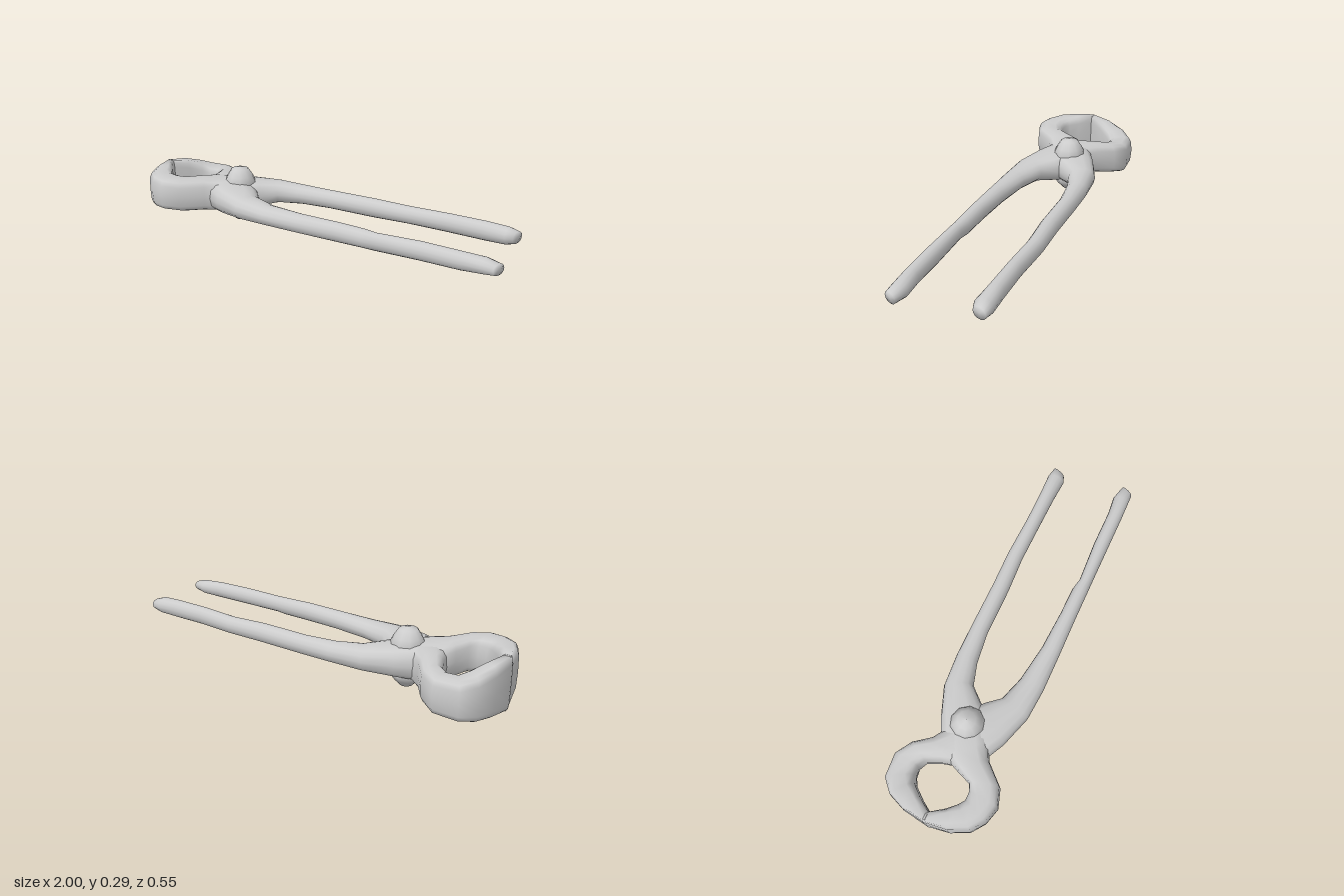
import * as THREE from 'three';

const SIDES = 14;

// Lofts rounded sections. Station: [outer x, z, inner x, z, low y, high y, roundness]
// roundness 1 = ellipse, smaller = boxier
function loft(stations, flip) {
  const pos = [], idx = [];
  for (const [ox, oz, ix, iz, y0, y1, k] of stations) {
    for (let a = 0; a < SIDES; a++) {
      const t = (a / SIDES) * Math.PI * 2;
      const c = Math.cos(t), s = Math.sin(t);
      const w = (Math.sign(c) * Math.abs(c) ** k + 1) / 2;
      const h = (Math.sign(s) * Math.abs(s) ** k + 1) / 2;
      pos.push(ix + (ox - ix) * w, y0 + (y1 - y0) * h, iz + (oz - iz) * w);
    }
  }
  const tri = (a, b, c) => (flip ? idx.push(a, c, b) : idx.push(a, b, c));
  const n = stations.length;
  for (let i = 0; i < n - 1; i++) {
    for (let a = 0; a < SIDES; a++) {
      const b = (a + 1) % SIDES, p = i * SIDES, q = p + SIDES;
      tri(p + a, p + b, q + b);
      tri(p + a, q + b, q + a);
    }
  }
  // end caps
  for (const end of [0, n - 1]) {
    const [ox, oz, ix, iz, y0, y1] = stations[end];
    const c = pos.length / 3;
    pos.push((ox + ix) / 2, (y0 + y1) / 2, (oz + iz) / 2);
    for (let a = 0; a < SIDES; a++) {
      const p = end * SIDES + a, q = end * SIDES + ((a + 1) % SIDES);
      if (end) tri(c, p, q);
      else tri(c, q, p);
    }
  }
  const g = new THREE.BufferGeometry();
  g.setAttribute('position', new THREE.Float32BufferAttribute(pos, 3));
  g.setIndex(idx);
  g.computeVertexNormals();
  return g;
}

export function createModel() {
  const model = new THREE.Group();
  const mat = new THREE.MeshStandardMaterial({ color: 0xcccccc });
  const add = (name, geo) => {
    const m = new THREE.Mesh(geo, mat);
    m.name = name;
    model.add(m);
    return m;
  };

  // Back jaw, crossing the pivot into the front handle
  add('backJawFrontHandle', loft([
    [-1.0, 0.005, -0.95, 0.005, 0.005, 0.265, 0.4],
    [-0.985, -0.12, -0.90, -0.07, 0.01, 0.25, 0.5],
    [-0.95, -0.21, -0.855, -0.125, 0.012, 0.225, 0.55],
    [-0.89, -0.27, -0.82, -0.145, 0.02, 0.205, 0.6],
    [-0.77, -0.28, -0.78, -0.15, 0.03, 0.205, 0.6],
    [-0.69, -0.23, -0.745, -0.13, 0.045, 0.215, 0.65],
    [-0.63, -0.15, -0.715, -0.06, 0.055, 0.225, 0.65],
    [-0.55, -0.10, -0.70, 0.01, 0.06, 0.23, 0.65],
    [-0.45, -0.07, -0.62, 0.115, 0.065, 0.23, 0.7],
    [-0.375, -0.005, -0.52, 0.165, 0.08, 0.22, 0.75],
    [-0.32, 0.06, -0.36, 0.215, 0.095, 0.21, 0.9],
    [-0.19, 0.10, -0.20, 0.225, 0.102, 0.2, 1],
    [0.0, 0.127, 0.0, 0.222, 0.105, 0.2, 1],
    [0.2, 0.137, 0.2, 0.217, 0.108, 0.203, 1],
    [0.35, 0.138, 0.35, 0.215, 0.11, 0.2, 1],
    [0.41, 0.15, 0.41, 0.214, 0.112, 0.197, 1],
    [0.63, 0.137, 0.63, 0.212, 0.115, 0.203, 1],
    [0.82, 0.135, 0.82, 0.21, 0.115, 0.2, 1],
    [0.92, 0.124, 0.92, 0.207, 0.12, 0.195, 1],
    [0.995, 0.142, 0.97, 0.205, 0.13, 0.182, 0.9],
  ], false));

  // Front jaw, crossing the pivot into the back handle
  add('frontJawBackHandle', loft([
    [-1.0, -0.005, -0.95, -0.005, 0.005, 0.265, 0.4],
    [-0.985, 0.11, -0.90, 0.06, 0.035, 0.263, 0.5],
    [-0.945, 0.20, -0.86, 0.10, 0.06, 0.26, 0.55],
    [-0.88, 0.25, -0.83, 0.12, 0.075, 0.257, 0.6],
    [-0.80, 0.272, -0.79, 0.118, 0.08, 0.253, 0.6],
    [-0.71, 0.24, -0.752, 0.10, 0.075, 0.248, 0.65],
    [-0.62, 0.14, -0.725, 0.03, 0.068, 0.242, 0.65],
    [-0.54, 0.10, -0.70, -0.03, 0.065, 0.238, 0.65],
    [-0.45, 0.07, -0.61, -0.12, 0.065, 0.232, 0.7],
    [-0.385, -0.015, -0.52, -0.165, 0.08, 0.222, 0.75],
    [-0.32, -0.09, -0.38, -0.22, 0.095, 0.212, 0.9],
    [-0.21, -0.125, -0.21, -0.235, 0.102, 0.203, 1],
    [-0.05, -0.147, -0.05, -0.237, 0.105, 0.2, 1],
    [0.2, -0.15, 0.2, -0.237, 0.107, 0.203, 1],
    [0.39, -0.162, 0.39, -0.243, 0.11, 0.198, 1],
    [0.6, -0.16, 0.6, -0.235, 0.113, 0.205, 1],
    [0.78, -0.158, 0.78, -0.237, 0.112, 0.205, 1],
    [0.89, -0.152, 0.89, -0.242, 0.115, 0.2, 1],
    [0.925, -0.165, 0.945, -0.232, 0.128, 0.185, 0.9],
  ], true));

  // Rivet through the pivot, domed at both ends
  const profile = [
    [0, 0.005], [0.032, 0.012], [0.058, 0.04], [0.085, 0.075],
    [0.085, 0.215], [0.068, 0.25], [0.044, 0.287], [0, 0.297],
  ].map(([r, y]) => new THREE.Vector2(r, y));
  add('pivotRivet', new THREE.LatheGeometry(profile, 10)).position.set(-0.51, 0, -0.025);

  return model;
}
